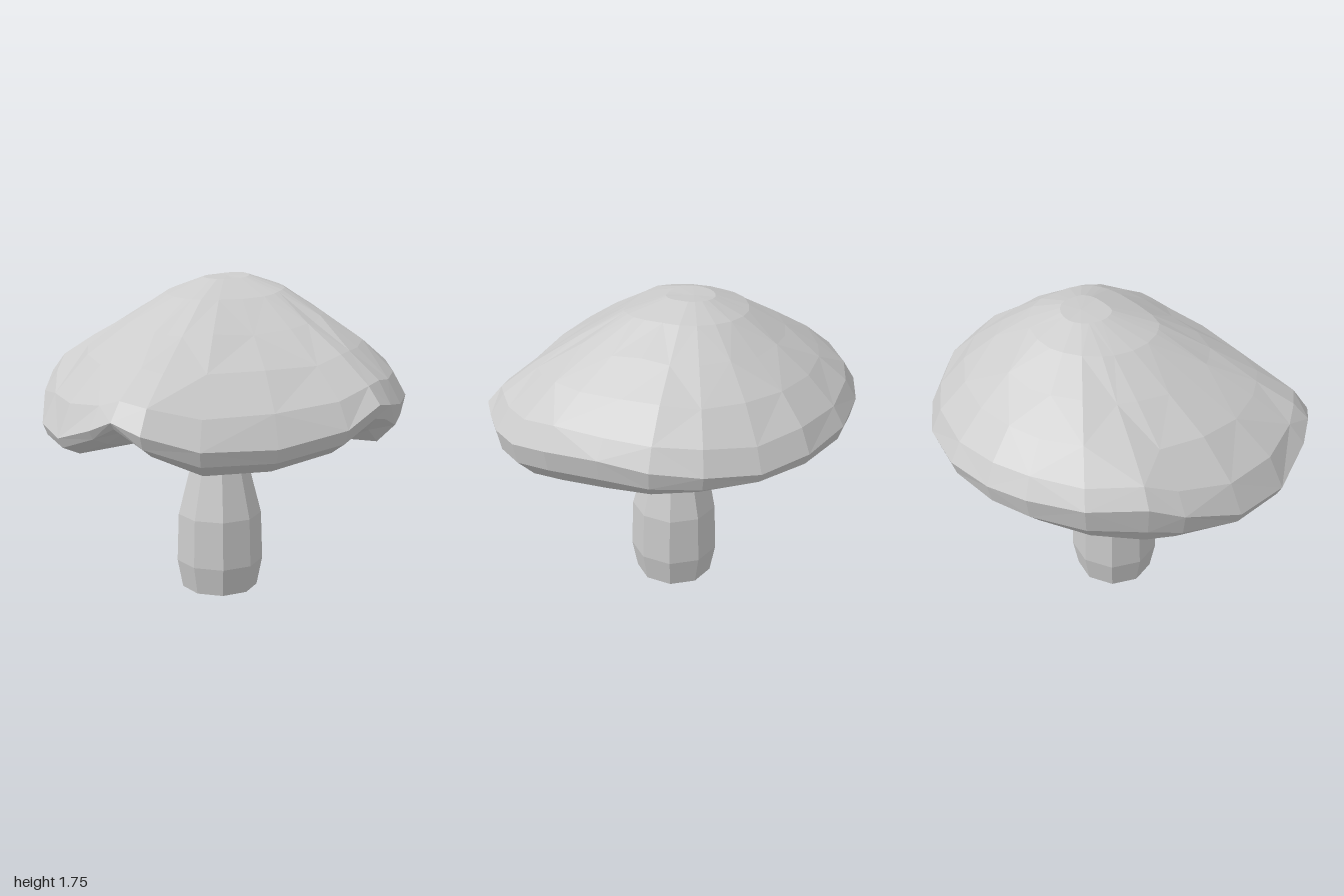
import * as THREE from 'three';

const material = new THREE.MeshStandardMaterial({ color: 0xcccccc, flatShading: true, side: THREE.DoubleSide });

// Rim of the cap, one row per column: x, z, rim height, height of the lowest lip.
// The raised lips form the notches at the front and on the left side.
const rim = [
  [-0.17, -1.0, 1.15, 1.03], [0.12, -1.0, 1.13, 1.03], [0.40, -0.92, 1.16, 1.01],
  [0.61, -0.77, 1.18, 0.99], [0.76, -0.55, 1.19, 0.97], [0.91, -0.30, 1.17, 0.95],
  [0.98, -0.10, 1.14, 0.92], [0.975, 0.09, 1.13, 0.91], [0.94, 0.22, 1.15, 1.0],
  [0.90, 0.33, 1.17, 1.03], [0.77, 0.50, 1.07, 0.93], [0.47, 0.73, 1.01, 0.87],
  [0.13, 0.92, 1.02, 0.87], [-0.14, 1.0, 1.1, 0.97], [-0.30, 0.96, 1.15, 1.08],
  [-0.43, 0.91, 1.09, 1.0], [-0.66, 0.75, 1.0, 0.90], [-0.85, 0.50, 1.01, 0.89],
  [-0.96, 0.20, 1.12, 0.89], [-0.985, 0.02, 1.2, 0.90], [-0.96, -0.28, 1.2, 0.94],
  [-0.84, -0.55, 1.2, 0.97], [-0.70, -0.73, 1.19, 0.99], [-0.47, -0.90, 1.17, 1.02],
];

function createCap() {
  const apex = [-0.03, 1.738, -0.2];
  // Crown: distance from apex to rim, share of the height kept
  const crown = [[0, 1], [0.13, 0.99], [0.33, 0.865], [0.55, 0.64], [0.76, 0.42], [0.93, 0.19], [1, 0]];
  // Lip: scale of the outline, share of the drop to the lowest lip
  const lip = [[0.975, 0.52], [0.88, 0.96]];
  // Underside: scale of the outline, height, blend towards that height
  const under = [[0.70, 0.93, 0.45], [0.42, 0.95, 0.85], [0, 0.96, 1]];
  const { lerp } = THREE.MathUtils;
  const n = rim.length;

  // Rim height averaged over five columns, so the notches fade out up the crown
  const evenRim = rim.map((_, j) =>
    [-2, -1, 0, 1, 2].reduce((sum, o) => sum + rim[(j + o + n) % n][2] / 5, 0));

  const rings = [
    ...crown.map(([t, f], i) => rim.map(([x, z, y], j) => {
      const base = lerp(evenRim[j], y, t ** 6);
      const wave = i > 2 && i < 6 ? 0.008 * Math.sin(j * 2.3 + i * 1.7) : 0;
      const fullness = 0.025 * Math.max(0, x - z) * Math.sin(Math.PI * t);
      return [lerp(apex[0], x, t), lerp(base, apex[1], f) + wave + fullness, lerp(apex[2], z, t)];
    })),
    ...lip.map(([s, f]) => rim.map(([x, z, y, low]) => [x * s, lerp(y, low, f), z * s])),
    ...under.map(([s, h, b]) => rim.map(([x, z, , low]) => [x * s, lerp(low, h, b), z * s])),
  ];

  const positions = [];
  const tri = (...corners) => corners.forEach((c) => positions.push(...c));
  for (let i = 0; i < rings.length - 1; i++) {
    for (let j = 0; j < n; j++) {
      const k = (j + 1) % n;
      const a = rings[i][j], b = rings[i][k], c = rings[i + 1][j], d = rings[i + 1][k];
      if (i === 0) tri(a, d, c);
      else if (i === rings.length - 2) tri(a, b, c);
      else if ((i + j) % 2) { tri(a, b, c); tri(b, d, c); }
      else { tri(a, b, d); tri(a, d, c); }
    }
  }
  const geometry = new THREE.BufferGeometry();
  geometry.setAttribute('position', new THREE.Float32BufferAttribute(positions, 3));
  geometry.computeVertexNormals();
  const cap = new THREE.Mesh(geometry, material);
  cap.name = 'cap';
  return cap;
}

function createStem() {
  // Nine-sided swollen stalk, closed at the foot
  const profile = [[0, 0], [0.213, 0], [0.244, 0.16], [0.235, 0.43], [0.168, 0.69], [0.145, 0.83], [0.14, 0.97]];
  const geometry = new THREE.LatheGeometry(profile.map(([r, y]) => new THREE.Vector2(r, y)), 9, Math.PI);
  const stem = new THREE.Mesh(geometry, material);
  stem.name = 'stem';
  stem.position.set(-0.03, 0, -0.035);
  return stem;
}

export function createModel() {
  const mushroom = new THREE.Group();
  mushroom.name = 'mushroom';
  mushroom.add(createStem(), createCap());
  return mushroom;
}
